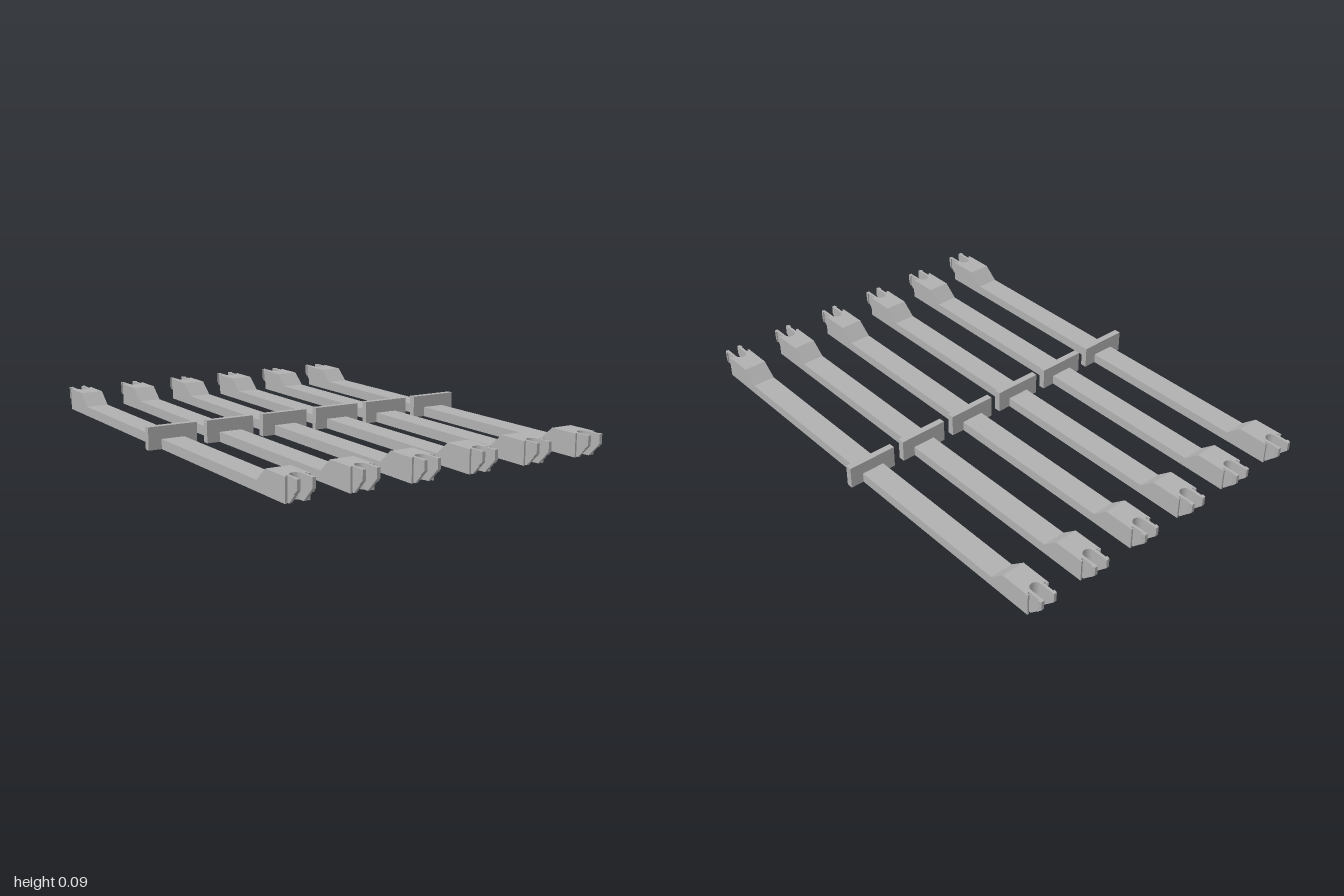
import * as THREE from 'three';

const H = 0.091, HALF = 0.048, SLOT = 0.022;

// Plan shape drawn in (x, z), extruded upward from y = 0 to H
function extrudeUp(shape) {
  const g = new THREE.ExtrudeGeometry(shape, { depth: H, bevelEnabled: false, curveSegments: 10 });
  g.rotateX(-Math.PI / 2); // shape y becomes -z
  g.rotateY(Math.PI);      // and then +z
  return g;
}

function polygon(points) {
  return new THREE.Shape(points.map(([a, b]) => new THREE.Vector2(a, b)));
}

// Long bar: side profile with raised ends, extruded across x
function barGeometry() {
  const shape = polygon([
    [-0.89, 0], [0.89, 0], [0.89, H], [0.82, H], [0.76, 0.04],
    [-0.76, 0.04], [-0.82, H], [-0.89, H],
  ]);
  const g = new THREE.ExtrudeGeometry(shape, { depth: 2 * HALF, bevelEnabled: false });
  g.translate(0, 0, -HALF);
  g.rotateY(-Math.PI / 2);
  return g;
}

// End block with a round-bottomed slot and two relief notches
function endGeometry() {
  const zEnd = 0.947, zNotch = 0.937;
  const s = polygon([
    [-HALF, 0.89], [HALF, 0.89], [HALF, zEnd], [0.041, zEnd], [0.041, zNotch],
    [0.033, zNotch], [0.033, zEnd], [SLOT, zEnd],
  ]);
  s.absarc(0, 0.934, SLOT, 0, -Math.PI, true);
  for (const [x, z] of [[-SLOT, zEnd], [-0.033, zEnd], [-0.033, zNotch], [-0.041, zNotch], [-0.041, zEnd], [-HALF, zEnd]]) {
    s.lineTo(x, z);
  }
  return extrudeUp(s);
}

// Hooked prong; its underside rises toward the tip
function prongGeometry(side) {
  const pts = [[SLOT, 0.947], [0.033, 0.947], [0.033, 0.985], [0.039, 0.985], [0.035, 1], [SLOT, 1]];
  const g = extrudeUp(polygon(pts.map(([x, z]) => [x * side, z])));
  const p = g.attributes.position;
  for (let i = 0; i < p.count; i++) {
    if (p.getY(i) < 0.001) p.setY(i, Math.max(0, p.getZ(i) - 0.947));
  }
  g.computeVertexNormals();
  return g;
}

export function createModel() {
  const model = new THREE.Group();
  model.name = 'slottedBars';
  const grey = new THREE.MeshStandardMaterial({ color: 0xb0b0b0 });
  grey.name = 'grey';

  const bar = barGeometry();
  const end = endGeometry();
  const prongs = [prongGeometry(-1), prongGeometry(1)];
  const plate = new THREE.BoxGeometry(0.206, H, 0.027);

  const add = (parent, geometry, name) => {
    const mesh = new THREE.Mesh(geometry, grey);
    mesh.name = name;
    parent.add(mesh);
    return mesh;
  };

  for (let i = 0; i < 6; i++) {
    const unit = new THREE.Group();
    unit.name = 'barUnit' + (i + 1);
    unit.position.x = (i - 2.5) * 0.25;
    add(unit, bar, 'bar');
    add(unit, plate, 'crossPlate').position.y = H / 2;
    // Front and back clips
    for (const turn of [0, Math.PI]) {
      const clip = new THREE.Group();
      clip.name = turn ? 'backClip' : 'frontClip';
      clip.rotation.y = turn;
      add(clip, end, 'endBlock');
      prongs.forEach((g) => add(clip, g, 'prong'));
      unit.add(clip);
    }
    model.add(unit);
  }
  return model;
}
